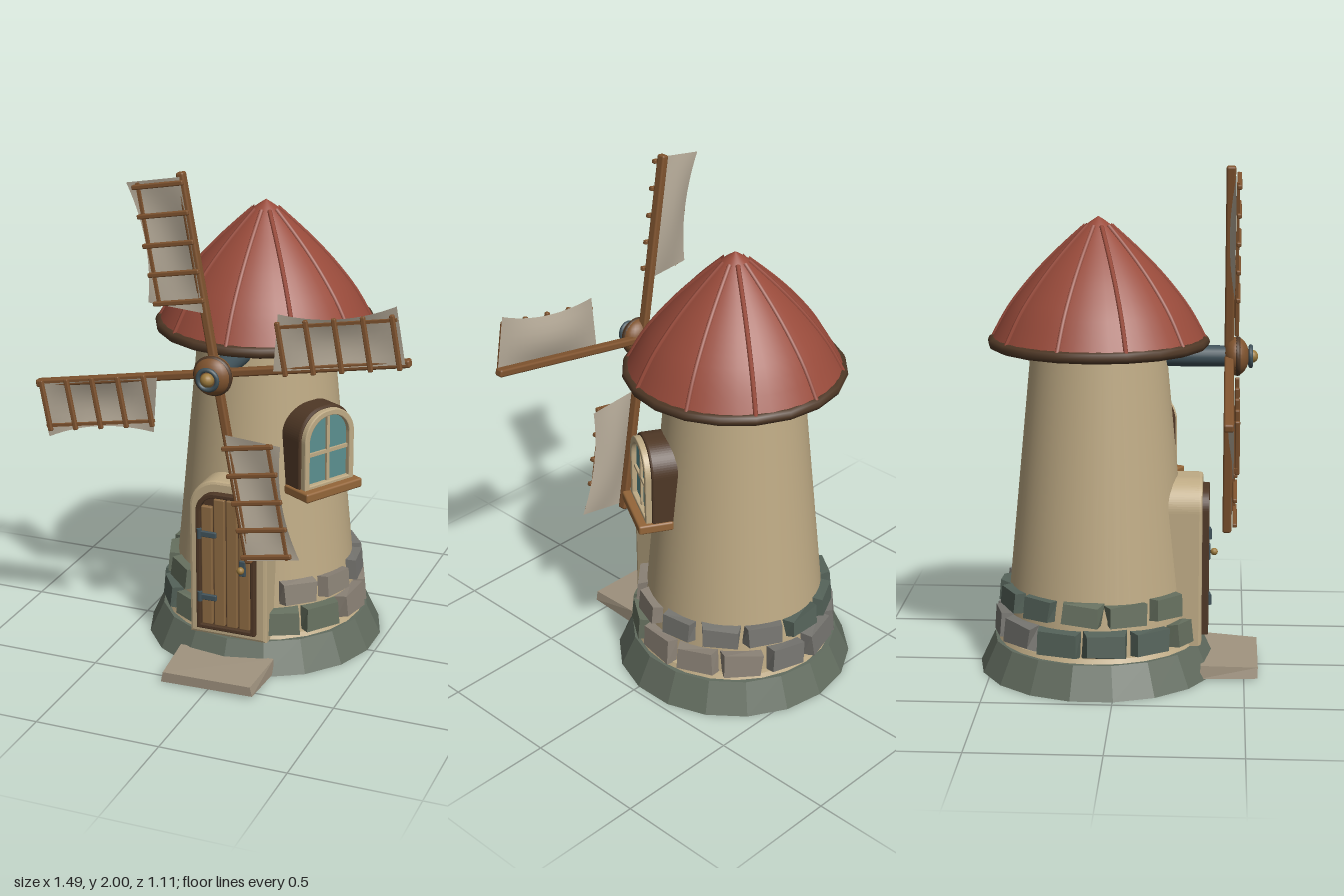
import * as THREE from 'three';
import { RoundedBoxGeometry } from 'three/addons/geometries/RoundedBoxGeometry.js';

const mat = (color, flatShading = false, side = THREE.FrontSide) =>
  new THREE.MeshStandardMaterial({ color, flatShading, side });
const M = {
  plaster: mat(0xbfab85), roof: mat(0x994b3b), base: mat(0x626c5f, true),
  wood: mat(0x80542f), plank: mat(0x8d6a42), dark: mat(0x4f3826), sill: mat(0x946639),
  sail: mat(0xb5aa98, false, THREE.DoubleSide), glass: mat(0x5c9090), steel: mat(0x40525a),
  brass: mat(0x9c7a3c), step: mat(0xa0937f, true), under: mat(0x62302a),
  stones: [mat(0x66705f, true), mat(0x8d8478, true), mat(0x767570, true), mat(0x55635a, true)],
};

let seed = 7;
const rand = () => (seed = (seed * 16807) % 2147483647) / 2147483647;

function add(parent, name, geometry, material, x = 0, y = 0, z = 0) {
  const mesh = new THREE.Mesh(geometry, material);
  mesh.name = name;
  mesh.position.set(x, y, z);
  parent.add(mesh);
  return mesh;
}

function group(parent, name, x = 0, y = 0, z = 0) {
  const g = new THREE.Group();
  g.name = name;
  g.position.set(x, y, z);
  parent.add(g);
  return g;
}

// Upright outline with rounded top corners
function arch(w, y0, y1, r, Type = THREE.Shape) {
  const s = new Type();
  s.moveTo(-w, y0);
  s.lineTo(w, y0);
  s.lineTo(w, y1 - r);
  s.absellipse(w - r, y1 - r, r, r, 0, Math.PI / 2);
  s.absellipse(-w + r, y1 - r, r, r, Math.PI / 2, Math.PI);
  s.lineTo(-w, y0);
  return s;
}

function extrude(shape, depth, bevel = 0) {
  return new THREE.ExtrudeGeometry(shape, {
    depth, curveSegments: 10, bevelEnabled: bevel > 0,
    bevelSize: bevel, bevelThickness: bevel, bevelOffset: -bevel, bevelSegments: 2,
  });
}

function archRing(w, y0, y1, r, t, depth, bevel) {
  const s = arch(w, y0, y1, r);
  s.holes.push(arch(w - t, y0 + t, y1 - t, r - t * 0.8, THREE.Path));
  return extrude(s, depth, bevel);
}

// Uneven block whose front face is a little smaller than its back
function stoneGeometry(w, h, d) {
  const g = new THREE.BoxGeometry(w, h, d);
  const p = g.attributes.position;
  const shift = Array.from({ length: 8 }, () => [rand(), rand()].map(v => (v - 0.5) * 0.016));
  for (let i = 0; i < p.count; i++) {
    const x = p.getX(i), y = p.getY(i), z = p.getZ(i);
    const [a, b] = shift[(x > 0) * 4 + (y > 0) * 2 + (z > 0)];
    const k = z > 0 ? 0.92 : 1;
    p.setXYZ(i, x * k + a, y * k + b, z);
  }
  g.computeVertexNormals();
  return g;
}

function buildTower(root) {
  const tower = group(root, 'tower', 0, 0, -0.08);
  add(tower, 'foundation', new THREE.CylinderGeometry(0.42, 0.478, 0.125, 18), M.base, 0, 0.0625, 0);
  add(tower, 'foundationLedge', new THREE.CylinderGeometry(0.395, 0.405, 0.02, 24), M.plaster, 0, 0.132, 0);
  add(tower, 'towerWall', new THREE.CylinderGeometry(0.263, 0.375, 1.18, 48), M.plaster, 0, 0.71, 0);
  // Two staggered rows of stones, left open at the door
  [[0.192, 0.383, 0.1, 0.168], [0.308, 0.366, 0.085, 0.15]].forEach(([y, r, h, w], row) => {
    for (let i = 0; i < 13; i++) {
      const a = ((i + 0.5 * row) / 13) * Math.PI * 2;
      const width = w * (0.92 + rand() * 0.16);
      if (Math.cos(a) > 0.91) continue;
      const stone = add(tower, 'wallStone', stoneGeometry(width, h, 0.05),
        M.stones[(i * 3 + row + (i % 3)) % 4], Math.sin(a) * r, y, Math.cos(a) * r);
      stone.rotation.set(-0.09, a, (rand() - 0.5) * 0.06, 'YXZ');
    }
  });
}

function buildRoof(root) {
  const roof = group(root, 'roof', 0, 0, -0.08);
  const profile = [[0.425, 1.305], [0.35, 1.44], [0.27, 1.545], [0.2, 1.622], [0.13, 1.69], [0.05, 1.762], [0, 1.797]];
  const curve = new THREE.SplineCurve(profile.map(p => new THREE.Vector2(...p)));
  add(roof, 'roofShell', new THREE.LatheGeometry(curve.getPoints(18), 40), M.roof);
  const soffit = add(roof, 'soffit', new THREE.CircleGeometry(0.42, 40), M.under, 0, 1.3, 0);
  soffit.rotation.x = Math.PI / 2;
  const rim = add(roof, 'roofRim', new THREE.TorusGeometry(0.412, 0.022, 8, 20), M.dark, 0, 1.312, 0);
  rim.rotation.x = Math.PI / 2;
  // Ribs following the roof curve
  const ribPath = new THREE.CatmullRomCurve3(profile.slice(0, 6).map(([r, y]) => new THREE.Vector3(0, y, r)));
  const ribGeometry = new THREE.TubeGeometry(ribPath, 16, 0.009, 6);
  for (let i = 0; i < 10; i++) add(roof, 'roofRib', ribGeometry, M.roof).rotation.y = (i * Math.PI) / 5;
}

function buildDoor(root) {
  const door = group(root, 'door');
  add(door, 'doorSurround', extrude(arch(0.16, 0.125, 0.78, 0.12), 0.12, 0.012), M.plaster, 0, 0, 0.2);
  add(door, 'doorBacking', extrude(arch(0.115, 0.17, 0.73, 0.07), 0.01), M.dark, 0, 0, 0.328);
  add(door, 'doorFrame', archRing(0.122, 0.16, 0.738, 0.08, 0.018, 0.025, 0.004), M.dark, 0, 0, 0.329);
  for (let i = 0; i < 4; i++) {
    const x = -0.078 + i * 0.052;
    const h = i === 0 || i === 3 ? 0.5 : 0.535;
    add(door, 'doorPlank', new RoundedBoxGeometry(0.045, h, 0.024, 1, 0.005), M.plank, x, 0.18 + h / 2, 0.342);
  }
  for (const y of [0.3, 0.567]) {
    add(door, 'hinge', new RoundedBoxGeometry(0.07, 0.024, 0.014, 1, 0.004), M.steel, -0.07, y, 0.358);
    add(door, 'hingePin', new THREE.CylinderGeometry(0.01, 0.01, 0.04, 8), M.steel, -0.105, y, 0.36);
  }
  add(door, 'latchPlate', new RoundedBoxGeometry(0.026, 0.065, 0.012, 1, 0.004), M.steel, 0.073, 0.445, 0.357);
  add(door, 'doorKnob', new THREE.SphereGeometry(0.015, 12, 8), M.brass, 0.073, 0.445, 0.378);
  const step = add(root, 'doorStep', stoneGeometry(0.4, 0.05, 0.225), M.step, 0, 0.034, 0.442);
  step.rotation.x = 0.03;
}

function buildWindow(root) {
  const win = group(root, 'window', 0, 0, -0.08);
  win.rotation.y = Math.PI / 3;
  add(win, 'windowSurround', extrude(arch(0.132, 0.73, 1.06, 0.12), 0.11, 0.008), M.dark, 0, 0, 0.25);
  add(win, 'windowFrame', archRing(0.123, 0.735, 1.05, 0.113, 0.024, 0.024, 0.004), M.plaster, 0, 0, 0.364);
  add(win, 'glass', extrude(arch(0.102, 0.75, 1.03, 0.09), 0.008), M.glass, 0, 0, 0.364);
  add(win, 'mullion', new THREE.BoxGeometry(0.014, 0.27, 0.016), M.plaster, 0, 0.89, 0.374);
  add(win, 'crossbar', new THREE.BoxGeometry(0.2, 0.014, 0.016), M.plaster, 0, 0.88, 0.374);
  add(win, 'windowSill', new RoundedBoxGeometry(0.28, 0.038, 0.14, 2, 0.008), M.sill, 0, 0.727, 0.355);
}

// Sail cloth with a hollow outer edge, slanted inner end and a slight belly
function sailGeometry() {
  const g = new THREE.PlaneGeometry(1, 1, 14, 6);
  const p = g.attributes.position;
  for (let i = 0; i < p.count; i++) {
    const s = p.getX(i) + 0.5, t = p.getY(i) + 0.5;
    const edge = (2 * s - 1) ** 2;
    const start = 0.235 + 0.055 * t;
    p.setXYZ(i, start + (0.74 - start) * s, t * (0.18 + 0.033 * edge), -0.022 * Math.sin(Math.PI * t) * (1 - edge));
  }
  g.computeVertexNormals();
  return g;
}

function buildSails(root) {
  const rotor = group(root, 'rotor', 0, 1.255, 0);
  const axle = add(rotor, 'axle', new THREE.CylinderGeometry(0.042, 0.042, 0.3, 20), M.steel, 0, 0, 0.28);
  axle.rotation.x = Math.PI / 2;
  add(rotor, 'hub', new THREE.SphereGeometry(0.075, 24, 16), M.wood, 0, 0, 0.455).scale.z = 0.68;
  add(rotor, 'hubBand', new THREE.TorusGeometry(0.066, 0.012, 8, 28), M.dark, 0, 0, 0.462);
  add(rotor, 'hubRing', new THREE.TorusGeometry(0.038, 0.009, 8, 24), M.steel, 0, 0, 0.512);
  add(rotor, 'hubCap', new THREE.SphereGeometry(0.026, 16, 10), M.brass, 0, 0, 0.515);
  const cloth = sailGeometry();
  for (let k = 0; k < 4; k++) {
    const blade = group(rotor, 'blade');
    blade.rotation.z = THREE.MathUtils.degToRad(10 + 90 * k);
    add(blade, 'bladeArm', new RoundedBoxGeometry(0.755, 0.03, 0.036, 2, 0.008), M.wood, 0.3775, 0, 0.428);
    add(blade, 'sailCloth', cloth, M.sail, 0, 0, 0.447);
    add(blade, 'sailRail', new THREE.BoxGeometry(0.46, 0.011, 0.012), M.wood, 0.505, 0.166, 0.454);
    for (let i = 0; i < 5; i++) {
      add(blade, 'sailSlat', new RoundedBoxGeometry(0.018, 0.205, 0.018, 1, 0.005), M.wood, 0.285 + i * 0.109, 0.085, 0.459);
    }
  }
}

export function createModel() {
  const root = new THREE.Group();
  root.name = 'windmill';
  seed = 7;
  buildTower(root);
  buildRoof(root);
  buildDoor(root);
  buildWindow(root);
  buildSails(root);
  return root;
}
